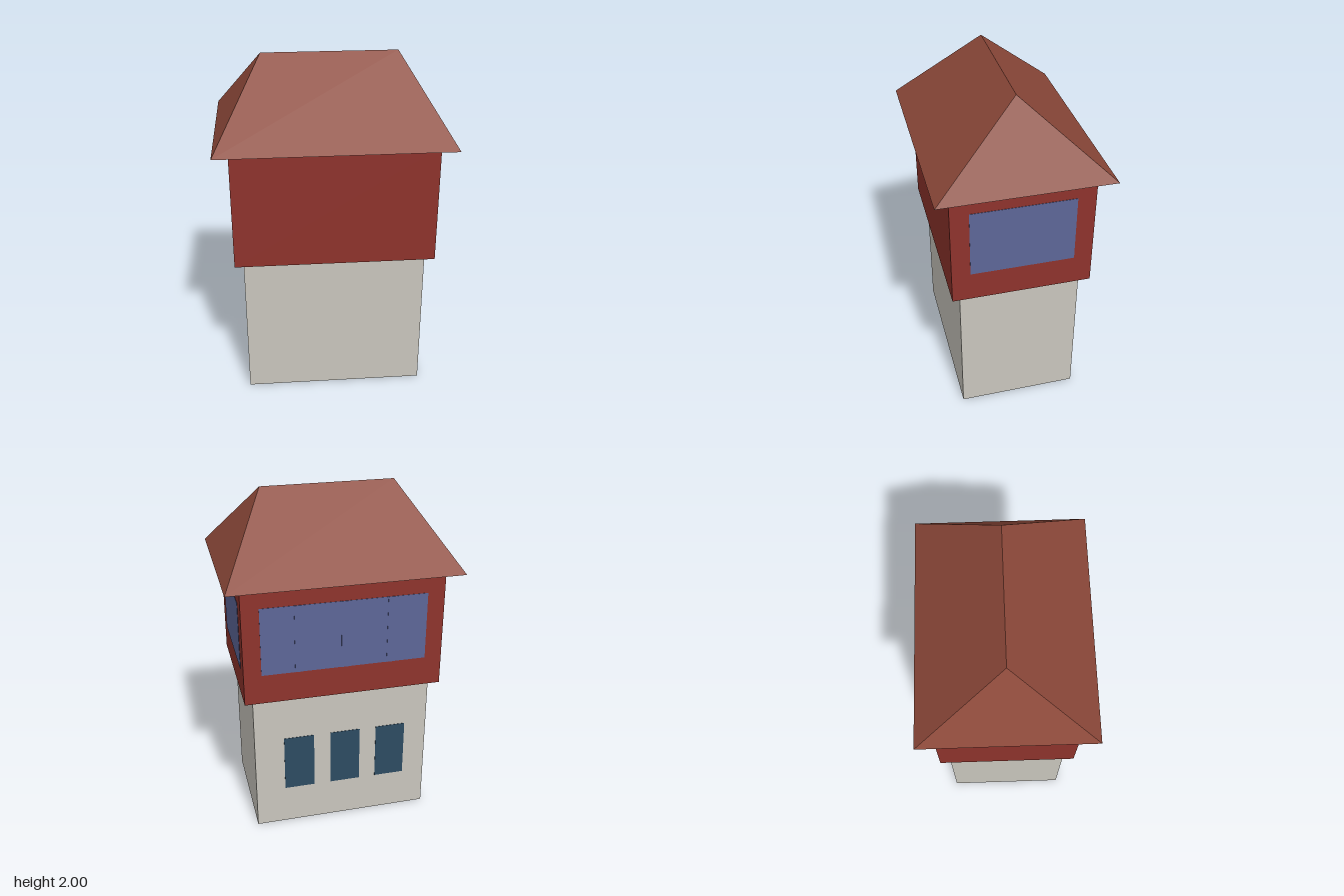
import * as THREE from 'three';

const mat = (name, color, side = THREE.FrontSide) => {
  const m = new THREE.MeshStandardMaterial({ color, side });
  m.name = name;
  return m;
};

// Open four-sided shell lofted from a lower rectangle to an upper one (half sizes)
function shell([bx, bz], y0, [tx, tz], y1) {
  const corners = [[1, 1], [1, -1], [-1, -1], [-1, 1]];
  const pos = [];
  corners.forEach(([sx, sz], i) => {
    const [nx, nz] = corners[(i + 1) % 4];
    const a = [sx * bx, y0, sz * bz], b = [nx * bx, y0, nz * bz];
    const c = [nx * tx, y1, nz * tz], d = [sx * tx, y1, sz * tz];
    const same = (p, q) => p.every((v, k) => Math.abs(v - q[k]) < 1e-6);
    pos.push(...a, ...b, ...c);
    if (!same(c, d)) pos.push(...a, ...c, ...d);
  });
  const g = new THREE.BufferGeometry();
  g.setAttribute('position', new THREE.Float32BufferAttribute(pos, 3));
  g.computeVertexNormals();
  return g;
}

export function createModel() {
  const group = new THREE.Group();
  const stone = mat('pale stone', 0xc9c6bd, THREE.DoubleSide);
  const red = mat('red boards', 0x8e332c, THREE.DoubleSide);
  const tile = mat('roof tile', 0x8c4839, THREE.DoubleSide);
  const glass = mat('blue glass', 0x5d6698);
  const darkGlass = mat('dark glass', 0x2d4b62);

  const add = (name, geometry, material) => {
    const mesh = new THREE.Mesh(geometry, material);
    mesh.name = name;
    group.add(mesh);
    return mesh;
  };

  // Hollow tower, overhanging cabin and hipped roof
  add('towerBase', shell([0.525, 0.35], 0, [0.525, 0.35], 0.875), stone);
  add('cabinWalls', shell([0.575, 0.4], 0.875, [0.575, 0.4], 1.57), red);
  add('roof', shell([0.66, 0.485], 1.57, [0.385, 0], 2), tile);

  // Thin plate on a back wall
  const backPlate = (name, x, y, w, h, z, material, t = 0.004) =>
    add(name, new THREE.BoxGeometry(w, h, t), material).position.set(x, y, z);

  // Cabin windows: one on the left side, a long band with mullions at the back
  add('sideWindow', new THREE.BoxGeometry(0.004, 0.4, 0.59), glass).position.set(0.575, 1.25, 0);
  backPlate('backWindow', 0, 1.25, 0.95, 0.4, -0.4, glass);
  for (const x of [-0.265, 0, 0.265]) backPlate('mullion', x, 1.25, 0.04, 0.4, -0.4, glass, 0.008);

  // Tower windows
  for (const x of [-0.3, -0.02, 0.26]) backPlate('towerWindow', x, 0.415, 0.18, 0.35, -0.35, darkGlass);

  return group;
}
